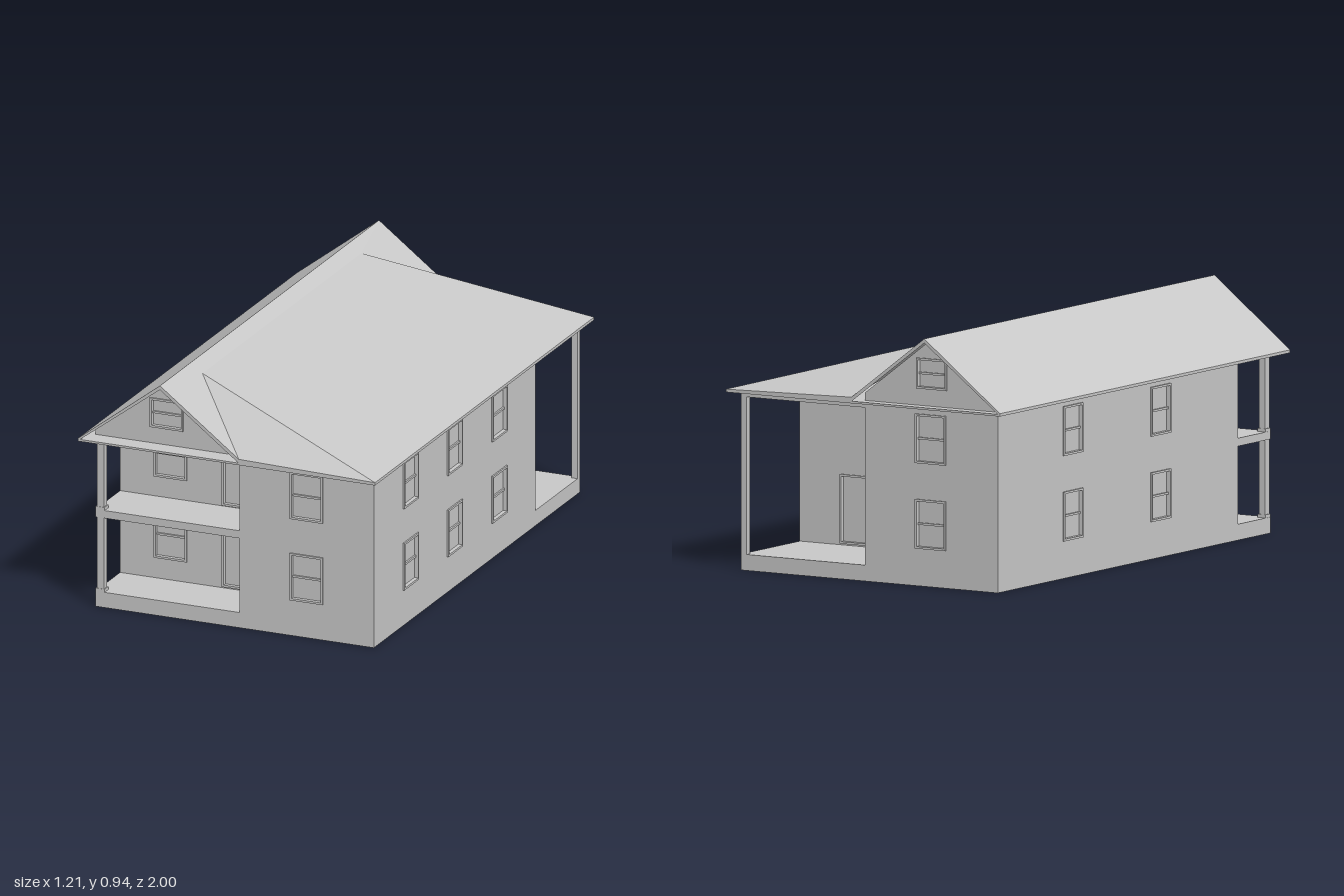
import * as THREE from 'three';

export function createModel() {
  const house = new THREE.Group();
  house.name = 'house';
  const grey = new THREE.MeshStandardMaterial({ color: 0xc8c8c8, side: THREE.DoubleSide, flatShading: true });
  grey.name = 'plain grey';

  const add = (parent, name, geometry, x = 0, y = 0, z = 0) => {
    const mesh = new THREE.Mesh(geometry, grey);
    mesh.name = name;
    mesh.position.set(x, y, z);
    parent.add(mesh);
    return mesh;
  };
  // box given by its limits
  const box = (parent, name, x0, x1, y0, y1, z0, z1) =>
    add(parent, name, new THREE.BoxGeometry(x1 - x0, y1 - y0, z1 - z0), (x0 + x1) / 2, (y0 + y1) / 2, (z0 + z1) / 2);
  const polygon = (points, Type = THREE.Shape) => new Type(points.map(([x, y]) => new THREE.Vector2(x, y)));
  const rect = (x0, x1, y0, y1) => [[x0, y0], [x1, y0], [x1, y1], [x0, y1]];

  // framed opening with a set-back panel; windows get a meeting rail
  function fitOpening(wall, [kind, u, y0, y1]) {
    const half = 0.067, t = 0.008;
    const frame = polygon(rect(u - half, u + half, y0, y1));
    frame.holes.push(polygon(rect(u - half + t, u + half - t, y0 + t, y1 - t), THREE.Path));
    add(wall, kind + 'Frame', new THREE.ExtrudeGeometry(frame, { depth: 0.018, bevelEnabled: false }), 0, 0, -0.012);
    add(wall, kind + 'Panel', new THREE.PlaneGeometry(2 * half, y1 - y0), u, (y0 + y1) / 2, -0.01);
    if (kind === 'window') {
      const mid = (y0 + y1) / 2;
      box(wall, 'windowRail', u - half, u + half, mid - 0.004, mid + 0.004, -0.01, -0.003);
    }
  }

  // flat wall facing a given way; u runs to the right as seen from outside
  function addWall(name, angle, distance, outline, openings = []) {
    const wall = new THREE.Group();
    wall.name = name;
    wall.rotation.y = angle;
    wall.position.set(Math.sin(angle) * distance, 0, Math.cos(angle) * distance);
    const shape = polygon(outline);
    for (const [, u, y0, y1] of openings) {
      shape.holes.push(polygon(rect(u - 0.066, u + 0.066, y0 + 0.001, y1 - 0.001), THREE.Path));
    }
    add(wall, name + 'Sheet', new THREE.ShapeGeometry(shape));
    openings.forEach((o) => fitOpening(wall, o));
    house.add(wall);
  }

  const FRONT = 0, BACK = Math.PI, PLUS_X = Math.PI / 2, MINUS_X = -Math.PI / 2;
  const W = 0.565, ZF = 0.925, ZB = 0.955, TOP = 0.67, FLOOR = 0.06, MID = 0.02;
  const porchF = 0.7, porchB = 0.55;
  const columns = (...us) => us.flatMap((u) => [['window', u, 0.14, 0.325], ['window', u, 0.46, 0.645]]);

  // outer walls, each cut away where a porch opens
  addWall('frontWall', FRONT, ZF,
    [[-W, 0], [W, 0], [W, TOP], [MID, TOP], [MID, FLOOR], [-W, FLOOR]], columns(0.292));
  addWall('backWall', BACK, ZB,
    [[-W, 0], [W, 0], [W, TOP], [-MID, TOP], [-MID, FLOOR], [-W, FLOOR]], columns(0.27));
  addWall('rightSideWall', MINUS_X, W,
    [[-ZB, 0], [ZF, 0], [ZF, FLOOR], [porchF, FLOOR], [porchF, TOP], [-ZB, TOP]], columns(-0.44, 0.165));
  addWall('leftSideWall', PLUS_X, W,
    [[-ZF, 0], [ZB, 0], [ZB, FLOOR], [porchB, FLOOR], [porchB, TOP], [-ZF, TOP]], columns(-0.592, -0.19, 0.217));

  // recessed porch walls
  addWall('frontPorchWall', FRONT, porchF, rect(-W, MID, FLOOR, TOP),
    [...columns(-0.36), ['door', -0.083, 0.065, 0.325], ['door', -0.083, 0.385, 0.645]]);
  addWall('frontPorchSide', MINUS_X, -MID, rect(porchF, ZF, FLOOR, TOP));
  addWall('backPorchWall', BACK, porchB, rect(-W, -MID, FLOOR, TOP), [['door', -0.32, 0.065, 0.325]]);
  addWall('backPorchSide', PLUS_X, MID, rect(porchB, ZB, FLOOR, TOP));

  // gable walls with attic windows
  for (const [name, angle, d, s] of [['frontGable', FRONT, ZF, 1], ['backGable', BACK, ZB, -1]]) {
    const outline = [[-W, TOP], [MID, TOP], [MID, 0.705], [-0.27, 0.925], [-W, 0.7]];
    addWall(name, angle, d, outline.map(([x, y]) => [s * x, y]), [['window', -0.275 * s, 0.74, 0.855]]);
  }

  // porch floors, balcony, posts and header beams
  box(house, 'frontPorchFloor', -W, MID, FLOOR - 0.004, FLOOR, porchF, ZF);
  box(house, 'backPorchFloor', MID, W, FLOOR - 0.004, FLOOR, -ZB, -porchB);
  box(house, 'balconyFloor', -W, MID, 0.352, 0.382, porchF, ZF);
  for (const [y0, y1] of [[FLOOR, 0.352], [0.382, TOP]]) {
    box(house, 'frontPost', -0.56, -0.532, y0, y1, ZF - 0.03, ZF - 0.002);
    box(house, 'frontPostBase', -0.564, -0.528, y0, y0 + 0.012, ZF - 0.034, ZF);
  }
  box(house, 'backPost', 0.54, W, FLOOR, TOP, -ZB, -ZB + 0.022);
  box(house, 'backHeader', MID, W, 0.65, TOP, -ZB, -ZB + 0.02);
  box(house, 'sideHeader', W - 0.02, W, 0.65, TOP, -ZB, -porchB);

  // ceiling carried out as the soffit under the eaves
  box(house, 'soffit', -0.603, 0.603, 0.669, 0.677, -1, 1);

  // roof corners at either end (s is +1 at the front, -1 at the back)
  const corner = (s) => ({
    eave: [-0.603, 0.68, s], ridge: [-0.27, 0.935, s], valley: [0.05, 0.692, s],
    peak: [-0.22, 0.902, 0.725 * s], far: [0.603, 0.68, s],
  });
  const f = corner(1), b = corner(-1);
  const addFaces = (name, faces) => {
    const positions = faces.flatMap((p) => p.slice(2).flatMap((v, i) => [p[0], p[i + 1], v].flat()));
    const geometry = new THREE.BufferGeometry();
    geometry.setAttribute('position', new THREE.Float32BufferAttribute(positions, 3));
    geometry.computeVertexNormals();
    add(house, name, geometry);
  };
  addFaces('steepRoof', [[b.eave, f.eave, f.ridge, b.ridge]]);
  addFaces('shallowRoof', [[f.peak, f.far, b.far, b.peak], [f.ridge, f.peak, b.peak, b.ridge]]);
  addFaces('frontRoofEnd', [[f.ridge, f.valley, f.peak], [f.valley, f.far, f.peak]]);
  addFaces('backRoofEnd', [[b.ridge, b.peak, b.valley], [b.valley, b.peak, b.far]]);

  // edge boards along the rakes and eaves
  const down = ([x, y, z]) => [x, Math.max(y - 0.016, 0.67), z];
  const board = (p, q) => [down(p), down(q), q, p];
  addFaces('roofEdgeBoards', [
    board(f.eave, f.ridge), board(f.ridge, f.valley), board(f.valley, f.far),
    board(f.far, b.far), board(b.far, b.valley), board(b.valley, b.ridge),
    board(b.ridge, b.eave), board(b.eave, f.eave),
  ]);
  return house;
}
